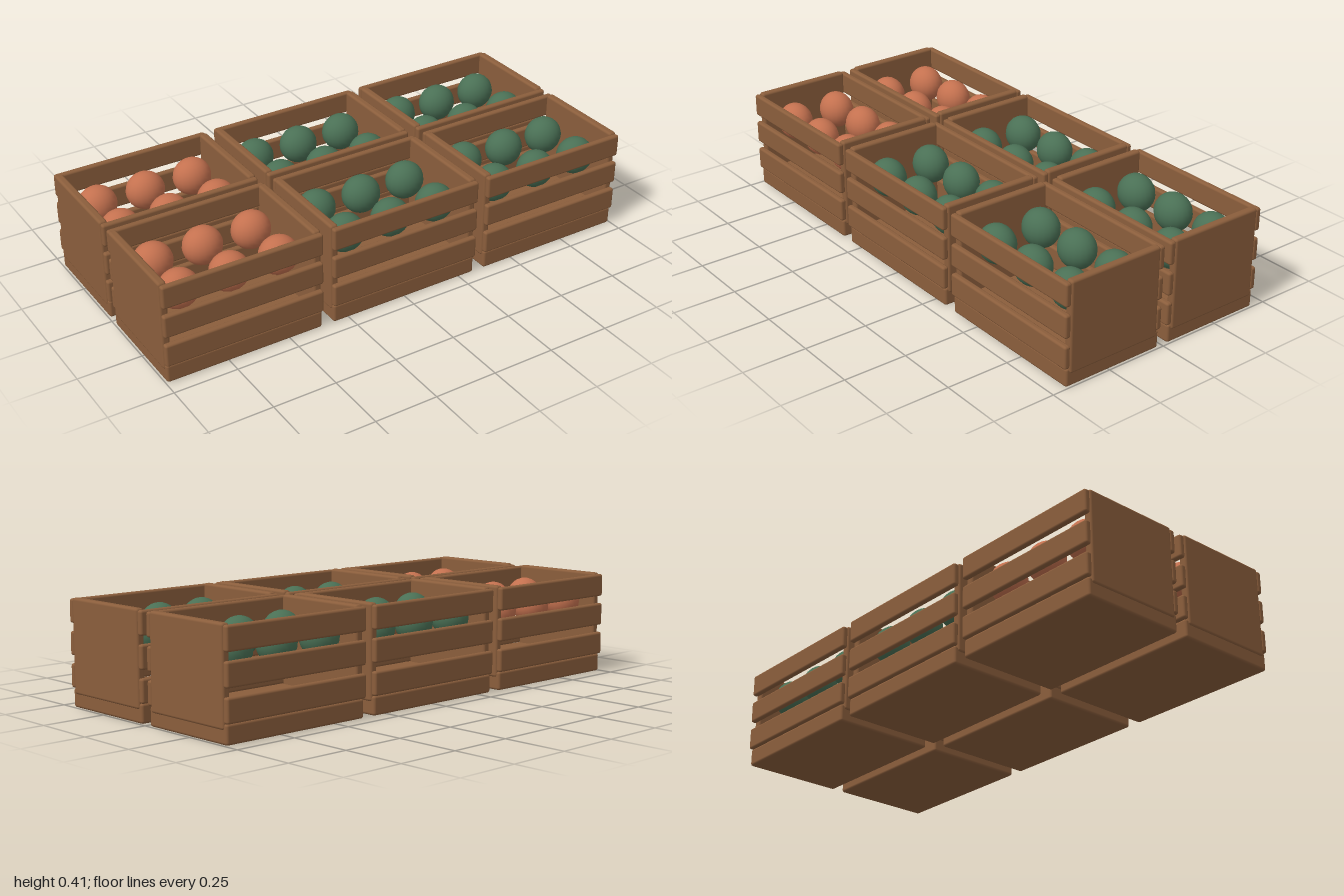
import * as THREE from 'three';
import { RoundedBoxGeometry } from 'three/addons/geometries/RoundedBoxGeometry.js';

const wood = new THREE.MeshStandardMaterial({ color: 0x8b5e3c });
const redSkin = new THREE.MeshStandardMaterial({ color: 0xc4714f });
const greenSkin = new THREE.MeshStandardMaterial({ color: 0x4a7055 });

const baseGeo = new RoundedBoxGeometry(0.63, 0.073, 0.42, 2, 0.01);
const endGeo = new RoundedBoxGeometry(0.032, 0.357, 0.395, 2, 0.01);
const slatGeo = new RoundedBoxGeometry(0.636, 0.09, 0.025, 2, 0.009);
const fruitGeo = new THREE.SphereGeometry(1, 20, 14).scale(0.077, 0.075, 0.068);

function addPart(group, name, geometry, material, x, y, z) {
  const mesh = new THREE.Mesh(geometry, material);
  mesh.name = name;
  mesh.position.set(x, y, z);
  group.add(mesh);
}

function makeCrate(skin) {
  const crate = new THREE.Group();
  crate.name = 'fruitCrate';
  addPart(crate, 'base', baseGeo, wood, 0, 0.0365, 0);

  for (const side of [-1, 1]) {
    // solid end panel
    addPart(crate, 'endPanel', endGeo, wood, side * 0.304, 0.2295, 0);
    // three long slats with gaps between
    for (let i = 0; i < 3; i++) {
      addPart(crate, 'slat', slatGeo, wood, 0, 0.118 + i * 0.12, side * 0.207);
    }
    // one row of fruit
    for (let i = -1; i <= 1; i++) {
      addPart(crate, 'fruit', fruitGeo, skin, i * 0.2, 0.295, side * 0.1);
    }
  }
  return crate;
}

export function createModel() {
  const model = new THREE.Group();
  model.name = 'fruitCrates';
  // two rows of three crates
  for (let column = -1; column <= 1; column++) {
    for (const row of [-1, 1]) {
      const crate = makeCrate(column < 0 ? redSkin : greenSkin);
      crate.position.set(column * 0.68, 0, row * 0.232);
      model.add(crate);
    }
  }
  return model;
}
